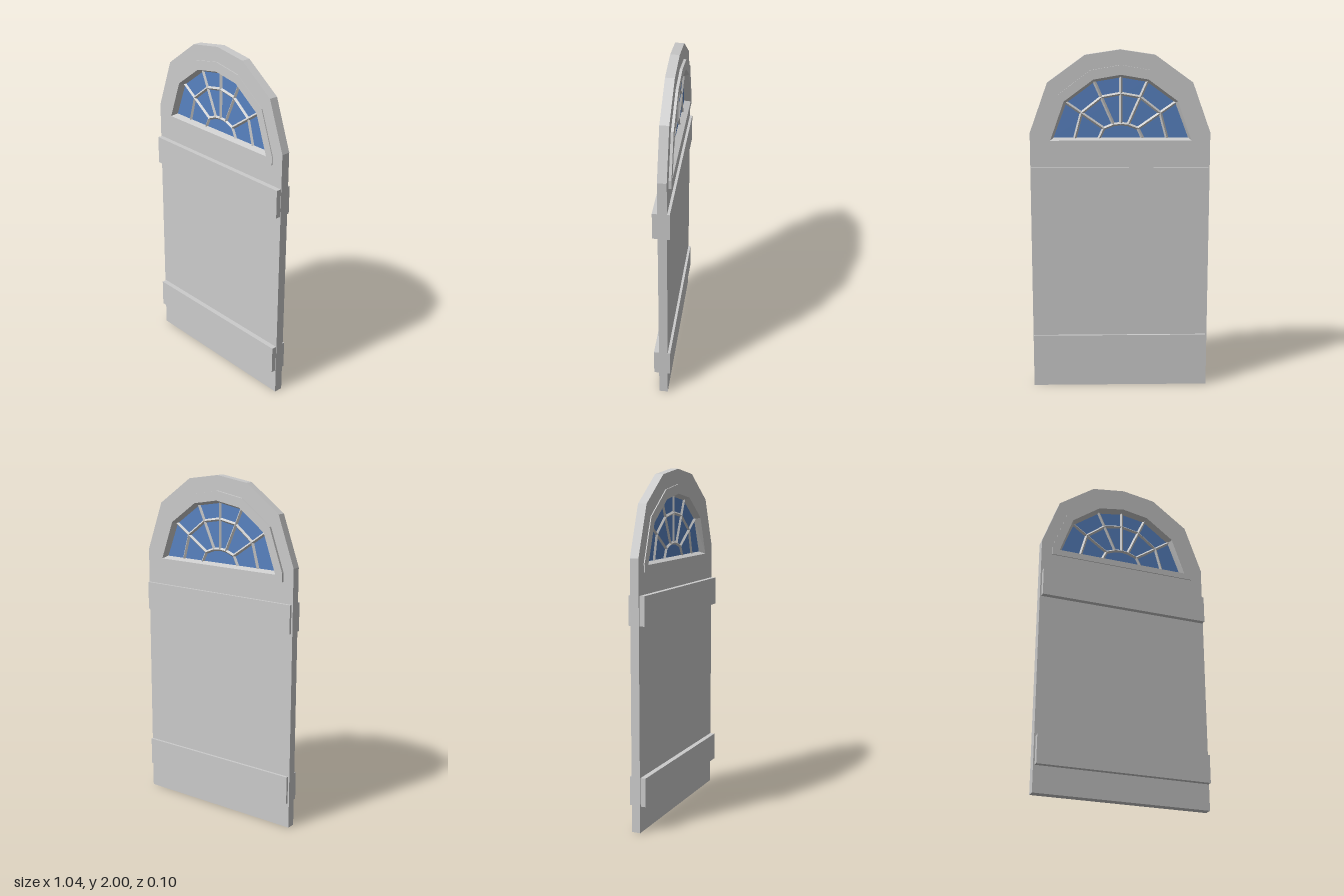
import * as THREE from 'three';

const grey = new THREE.MeshStandardMaterial({ color: 0xcccccc, flatShading: true });
const blue = new THREE.MeshStandardMaterial({ color: 0x5882c1, side: THREE.DoubleSide });

const SILL = 1.49;      // height of the fan window's centre
const MID_Z = -0.012;   // middle plane of the slab and glass

// Mirror the right half of an outline (bottom to top, last point on x = 0) into a full one
const mirror = (half) => [
  ...half,
  ...half.slice(0, -1).reverse().map(([x, y]) => [-x, y]),
];
const toPoints = (list) => list.map(([x, y]) => new THREE.Vector2(x, y));

// Join closed outlines of equal length into a ring-shaped solid
function loftRing(sections) {
  const pos = [];
  sections.forEach((a, s) => {
    const b = sections[(s + 1) % sections.length];
    a.pts.forEach((p, i) => {
      const j = (i + 1) % a.pts.length;
      const p0 = [...p, a.z], p1 = [...a.pts[j], a.z];
      const q0 = [...b.pts[i], b.z], q1 = [...b.pts[j], b.z];
      pos.push(...p0, ...p1, ...q1, ...p0, ...q1, ...q0);
    });
  });
  const geo = new THREE.BufferGeometry();
  geo.setAttribute('position', new THREE.Float32BufferAttribute(pos, 3));
  geo.computeVertexNormals();
  return geo;
}

export function createModel() {
  const door = new THREE.Group();
  door.name = 'archedDoor';
  const add = (parent, name, geo, mat = grey) => {
    const mesh = new THREE.Mesh(geo, mat);
    mesh.name = name;
    parent.add(mesh);
    return mesh;
  };

  // Window outlines, all mirrored about the centre
  const frameOuter = mirror([[0.45, 1.45], [0.45, 1.5], [0.363, 1.745], [0.172, 1.885], [0, 1.915]]);
  const opening = mirror([[0.405, 1.487], [0.4, 1.5], [0.325, 1.71], [0.157, 1.833], [0, 1.86]]);
  const rim = mirror([[0.387, 1.5], [0.382, 1.513], [0.311, 1.7], [0.15, 1.818], [0, 1.843]]);
  const slabHole = mirror([[0.425, 1.47], [0.425, 1.5], [0.345, 1.73], [0.165, 1.86], [0, 1.89]]);

  // Arched slab with a hole for the window
  const slab = new THREE.Shape(toPoints(mirror([[0.518, 0], [0.518, 1.53], [0.415, 1.815], [0.2, 1.97], [0, 2]])));
  slab.holes.push(new THREE.Path(toPoints(slabHole)));
  add(door, 'slab', new THREE.ExtrudeGeometry(slab, { depth: 0.051, bevelEnabled: false }))
    .position.z = -0.033;

  // Cross boards standing proud on both faces
  for (const [name, y] of [['lowerBoard', 0.235], ['upperBoard', 1.247]]) {
    add(door, name, new THREE.BoxGeometry(1.024, 0.165, 0.096)).position.set(0.003, y, 0);
  }

  const fan = new THREE.Group();
  fan.name = 'fanWindow';
  fan.position.x = -0.004;
  door.add(fan);

  // Frame whose inner faces slope in toward the glass
  add(fan, 'windowFrame', loftRing([
    { pts: frameOuter, z: -0.048 },
    { pts: frameOuter, z: 0.024 },
    { pts: opening, z: 0.024 },
    { pts: rim, z: MID_Z },
    { pts: opening, z: -0.048 },
  ]));

  // Glass pane
  add(fan, 'glass', new THREE.ShapeGeometry(new THREE.Shape(toPoints(opening))), blue)
    .position.z = MID_Z;

  // Diamond-section glazing bar between two points
  const up = new THREE.Vector3(0, 1, 0);
  function bar(name, a, b) {
    const from = new THREE.Vector3(...a, MID_Z), to = new THREE.Vector3(...b, MID_Z);
    const dir = to.clone().sub(from);
    const mesh = add(fan, name, new THREE.CylinderGeometry(0.01, 0.01, dir.length() + 0.006, 4));
    mesh.position.copy(from).add(to).multiplyScalar(0.5);
    mesh.quaternion.setFromUnitVectors(up, dir.normalize());
  }

  // Two concentric rings of bars
  const ring = (half) => mirror(half.map(([x, y]) => [x, SILL + y]));
  const inner = ring([[0.128, 0], [0.098, 0.063], [0.042, 0.085], [0, 0.09]]);
  const middle = ring([[0.265, 0.005], [0.226, 0.151], [0.11, 0.242], [0, 0.262]]);
  for (const [name, pts] of [['innerRingBar', inner], ['middleRingBar', middle]]) {
    for (let i = 0; i < pts.length - 1; i++) bar(name, pts[i], pts[i + 1]);
  }

  // Spokes from the inner ring to the frame corners
  const corners = opening.slice(2, -2);
  corners.forEach((corner, i) => bar('spoke', inner[i + 1], corner));

  return door;
}
